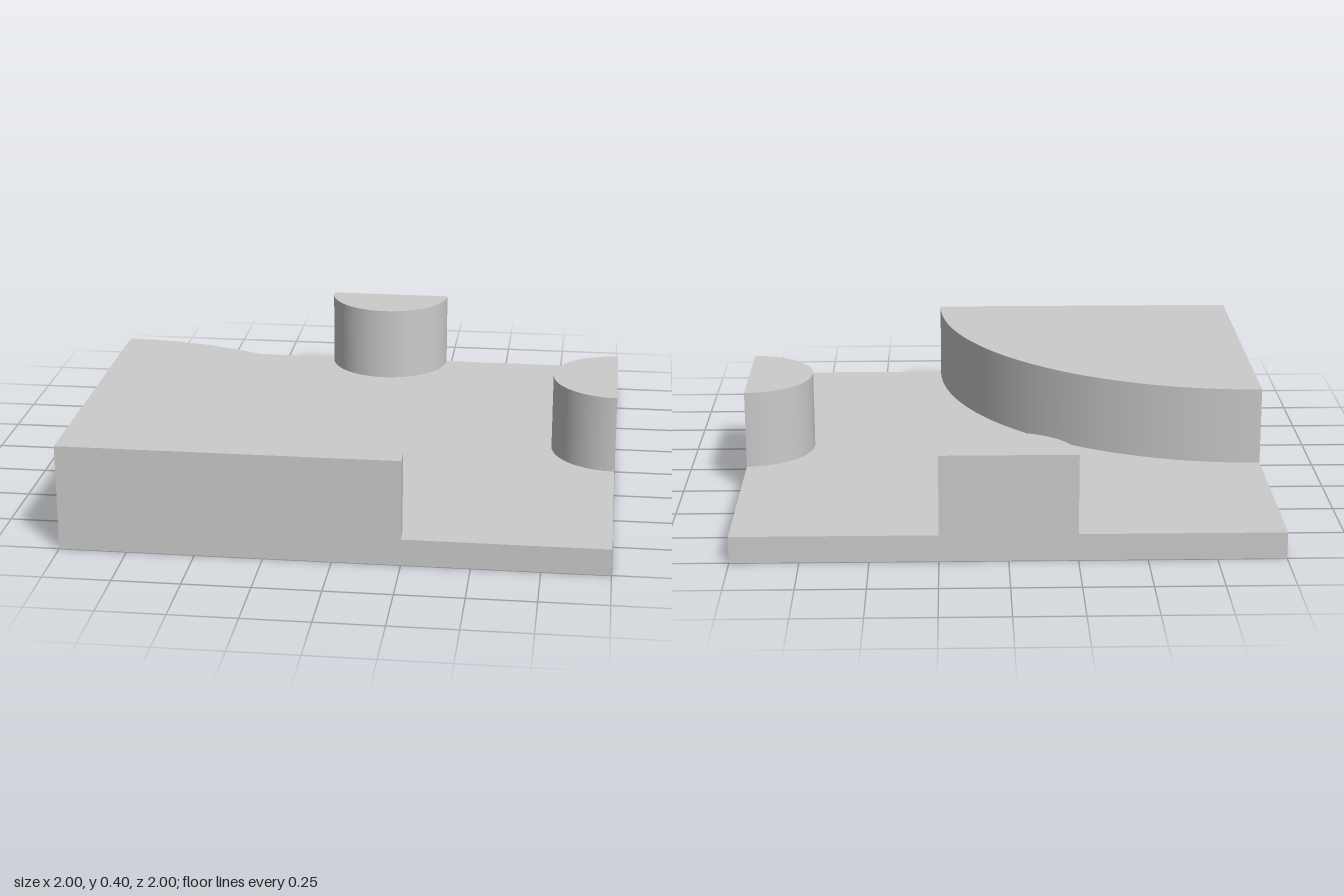
import * as THREE from 'three';
import { toCreasedNormals } from 'three/addons/utils/BufferGeometryUtils.js';

const PLATE = 0.1;  // plate thickness
const TOP = 0.4;    // height of the raised blocks

export function createModel() {
  const group = new THREE.Group();
  const material = new THREE.MeshStandardMaterial({ color: 0xcccccc });

  function add(name, geometry, y) {
    const mesh = new THREE.Mesh(geometry, material);
    mesh.name = name;
    mesh.position.y = y;
    group.add(mesh);
  }

  // Upright block with a circular-sector outline; angles run from +x towards -z
  function sectorBlock(name, x, z, radius, start, end) {
    const shape = new THREE.Shape();
    shape.absarc(x, -z, radius, start, end, false);
    shape.lineTo(x, -z);
    shape.closePath();
    const geometry = new THREE.ExtrudeGeometry(shape, {
      depth: TOP - PLATE, bevelEnabled: false, curveSegments: 48,
    });
    geometry.rotateX(-Math.PI / 2);
    add(name, toCreasedNormals(geometry, 0.5), PLATE);
  }

  // Square base
  add('basePlate', new THREE.BoxGeometry(2, PLATE, 2), PLATE / 2);

  // Large quarter disc in the front corner, half discs on two edges
  sectorBlock('quarterBlock', -1, 1, 1.25, 0, Math.PI / 2);
  sectorBlock('backHalfPost', 0, -1, 0.25, Math.PI, 2 * Math.PI);
  sectorBlock('leftHalfPost', 1, 0, 0.25, Math.PI / 2, 1.5 * Math.PI);

  return group;
}
